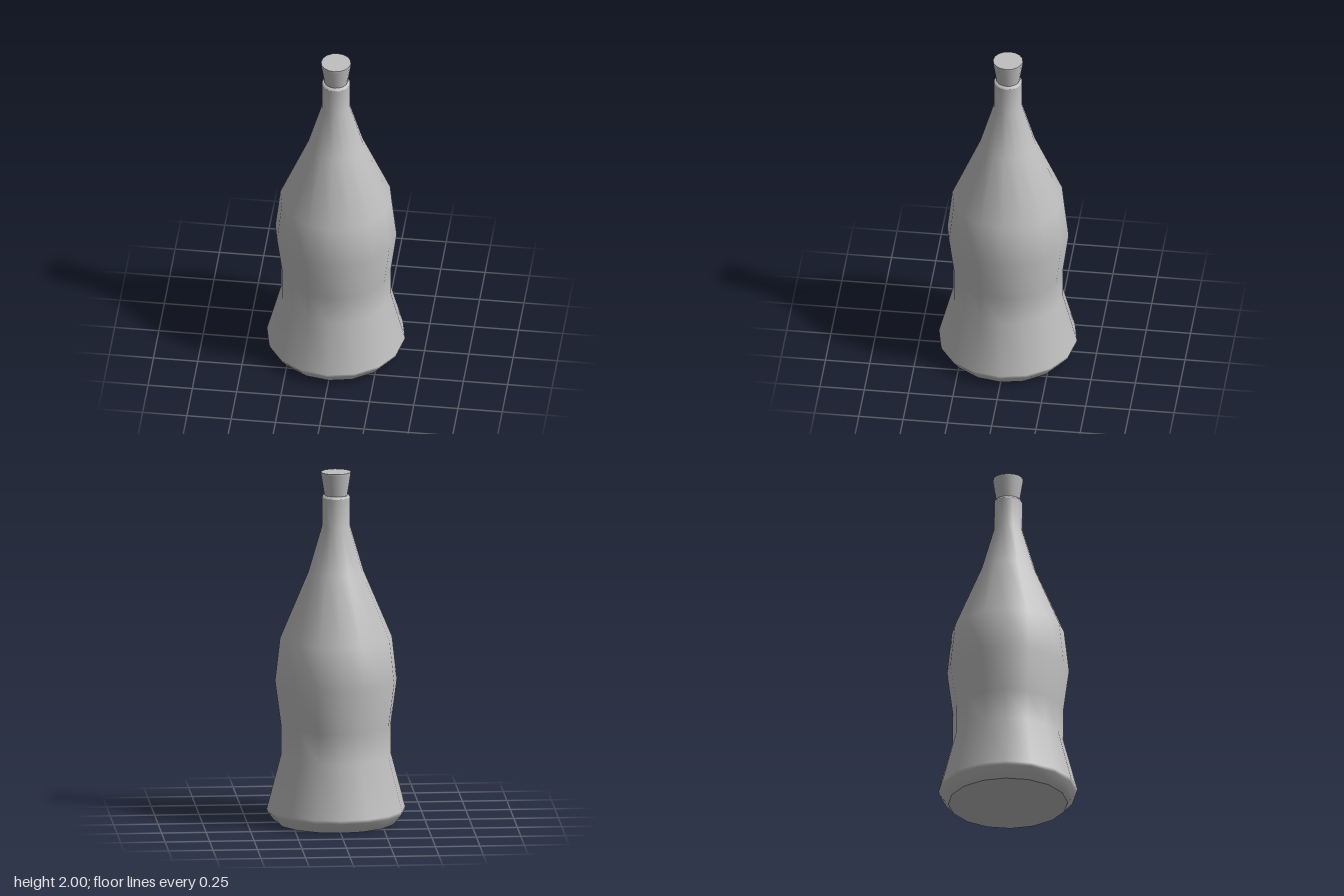
import * as THREE from 'three';

const SIDES = 16;

export function createModel() {
  const model = new THREE.Group();
  model.name = 'bottle';

  const grey = new THREE.MeshStandardMaterial({ color: 0xc0c0c0 });
  grey.name = 'plain grey';

  // Turns a [radius, height] profile, listed bottom to top, around the y axis
  const turn = (name, profile) => {
    const points = profile.map(([r, y]) => new THREE.Vector2(r, y));
    const mesh = new THREE.Mesh(new THREE.LatheGeometry(points, SIDES), grey);
    mesh.name = name;
    model.add(mesh);
  };

  // Flat underside
  turn('base', [[0, 0], [0.335, 0]]);

  // Bevelled foot, pinched waist, wide shoulder and straight neck
  turn('body', [
    [0.335, 0], [0.35, 0.015], [0.385, 0.06], [0.39, 0.08],
    [0.31, 0.385], [0.31, 0.56], [0.343, 0.81], [0.315, 1.055],
    [0.156, 1.43], [0.08, 1.69], [0.08, 1.855],
  ]);

  // Rounded lip closing in on the stopper
  turn('lip', [[0.08, 1.855], [0.073, 1.868], [0.05, 1.868]]);

  // Stopper flaring upwards, with its flat top
  turn('stopper', [[0.064, 1.86], [0.068, 1.885], [0.085, 1.99], [0.084, 2]]);
  turn('stopperTop', [[0.084, 2], [0, 2]]);

  return model;
}
